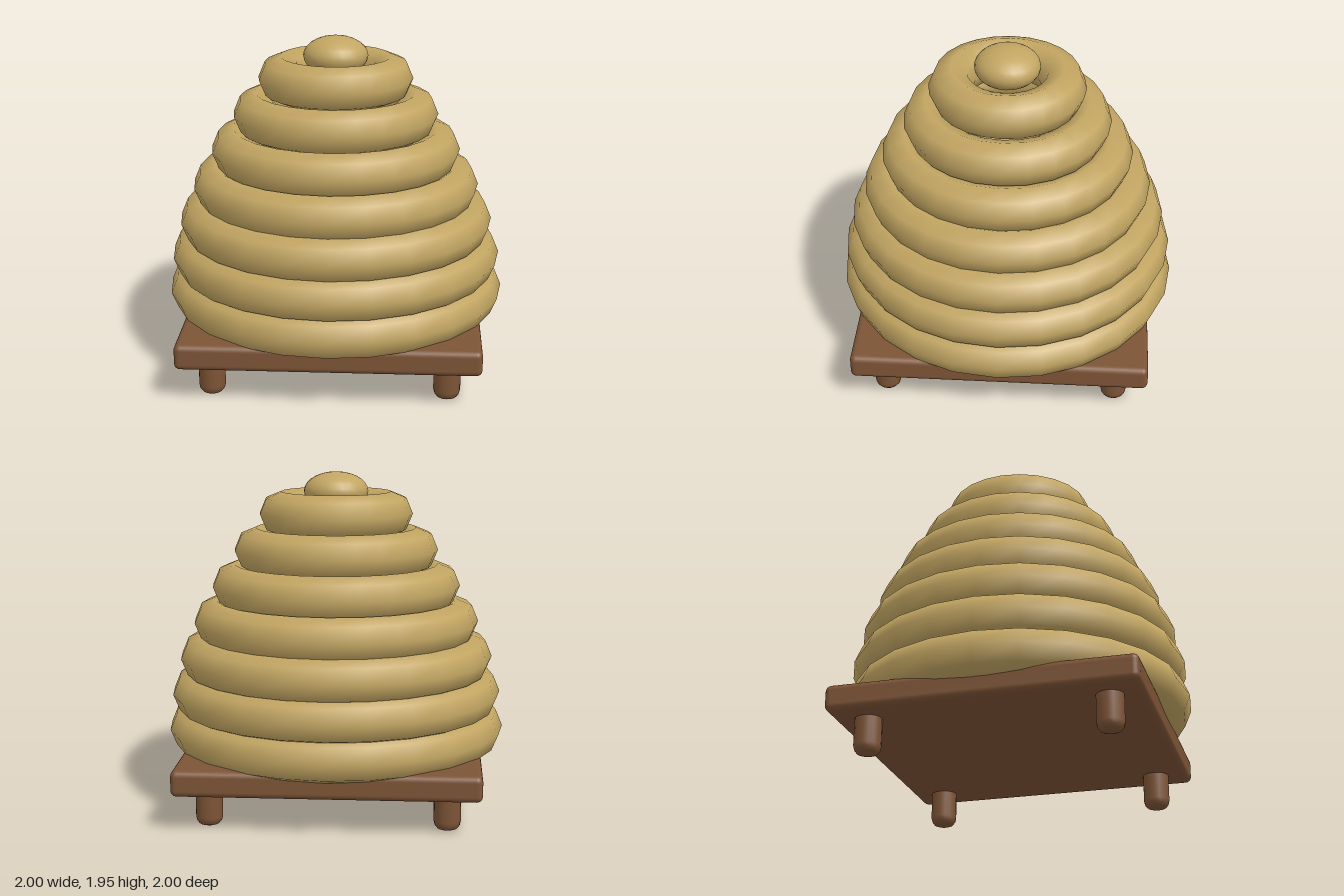
import * as THREE from 'three';
import { RoundedBoxGeometry } from 'three/addons/geometries/RoundedBoxGeometry.js';

export function createModel() {
  const straw = new THREE.MeshStandardMaterial({ color: 0xc2a562 });
  straw.name = 'straw';
  const wood = new THREE.MeshStandardMaterial({ color: 0x7d5436 });
  wood.name = 'wood';

  const model = new THREE.Group();
  model.name = 'strawBeehive';
  const add = (name, geometry, material, x, y, z) => {
    const mesh = new THREE.Mesh(geometry, material);
    mesh.name = name;
    mesh.position.set(x, y, z);
    model.add(mesh);
    return mesh;
  };

  // Coiled straw rings, narrowing towards the top
  const tube = 0.13;
  const outerRadii = [1.0, 0.98, 0.93, 0.846, 0.735, 0.603, 0.453];
  outerRadii.forEach((outer, i) => {
    const ring = new THREE.TorusGeometry(outer - tube, tube, 8, 24);
    ring.rotateX(-Math.PI / 2);
    add(`strawRing${i + 1}`, ring, straw, 0, 0.438 + i * 0.2115, 0);
  });

  // Flattened knob closing the top
  const cap = new THREE.SphereGeometry(0.19, 24, 14);
  cap.scale(1, 0.6, 1);
  add('topCap', cap, straw, 0, 1.838, 0);

  // Wooden stand board
  add('standBoard', new RoundedBoxGeometry(1.73, 0.15, 1.73, 3, 0.035), wood, 0, 0.28, 0);

  // Short legs with rounded feet
  const profile = [[0, 0], [0.035, 0], [0.057, 0.008], [0.071, 0.025], [0.077, 0.05], [0.077, 0.22]];
  const leg = new THREE.LatheGeometry(profile.map(([r, y]) => new THREE.Vector2(r, y)), 16);
  for (const sx of [-1, 1]) {
    for (const sz of [-1, 1]) {
      add(`${sz > 0 ? 'front' : 'back'}${sx > 0 ? 'Left' : 'Right'}Leg`, leg, wood, sx * 0.673, 0, sz * 0.673);
    }
  }
  return model;
}
